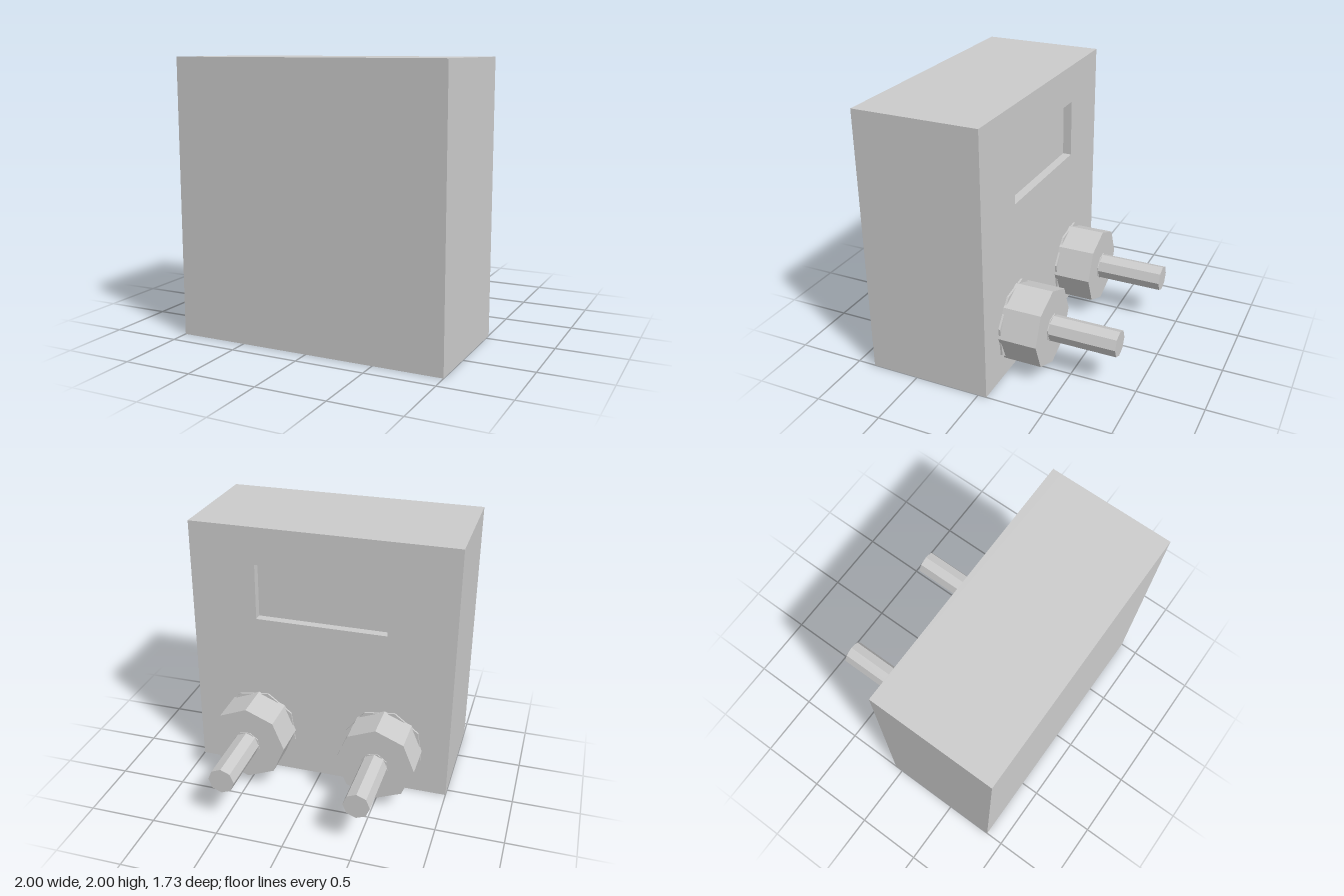
import * as THREE from 'three';

const material = new THREE.MeshStandardMaterial({ color: 0xcccccc, flatShading: true });

const BACK = -0.065, FLOOR = 0, FRONT = 0.863, KNOB_Y = 0.364;

function addMesh(parent, name, geometry) {
  const mesh = new THREE.Mesh(geometry, material);
  mesh.name = name;
  parent.add(mesh);
  return mesh;
}

// Rectangle path, counter-clockwise
function rectangle(path, x0, y0, x1, y1) {
  path.moveTo(x0, y0);
  path.lineTo(x1, y0);
  path.lineTo(x1, y1);
  path.lineTo(x0, y1);
  path.closePath();
  return path;
}

// Octagonal prism lying along z, from zNear to zFar (further back)
function octagon(radius, zNear, zFar, turn = 0) {
  return new THREE.CylinderGeometry(radius, radius, zNear - zFar, 8, 1, false, turn)
    .rotateX(-Math.PI / 2)
    .translate(0, 0, (zNear + zFar) / 2);
}

export function createModel() {
  const model = new THREE.Group();
  model.name = 'controlBox';

  // Solid housing, whose back face is the floor of the window
  const housing = new THREE.BoxGeometry(2, 2, FRONT - FLOOR);
  addMesh(model, 'housing', housing).position.set(0, 1, (FRONT + FLOOR) / 2);

  // Back panel with the sunken window cut through it
  const panel = rectangle(new THREE.Shape(), -1, 0, 1, 2);
  panel.holes.push(rectangle(new THREE.Path(), -0.5, 1.285, 0.5, 1.715));
  const panelGeometry = new THREE.ExtrudeGeometry(panel, { depth: FLOOR - BACK, bevelEnabled: false });
  addMesh(model, 'windowPanel', panelGeometry).position.z = BACK;

  // Two knobs, each with a thin base ring and a long shaft
  for (const x of [-0.5, 0.5]) {
    const knob = new THREE.Group();
    knob.name = x > 0 ? 'leftKnob' : 'rightKnob';
    knob.position.set(x, KNOB_Y, 0);
    addMesh(knob, 'baseRing', octagon(0.306, BACK, -0.08, -Math.PI / 12));
    addMesh(knob, 'knobBody', octagon(0.297, BACK, -0.353));
    addMesh(knob, 'shaftRing', octagon(0.104, -0.34, -0.36, -Math.PI / 12));
    addMesh(knob, 'shaft', octagon(0.098, -0.34, -0.863));
    model.add(knob);
  }

  return model;
}
